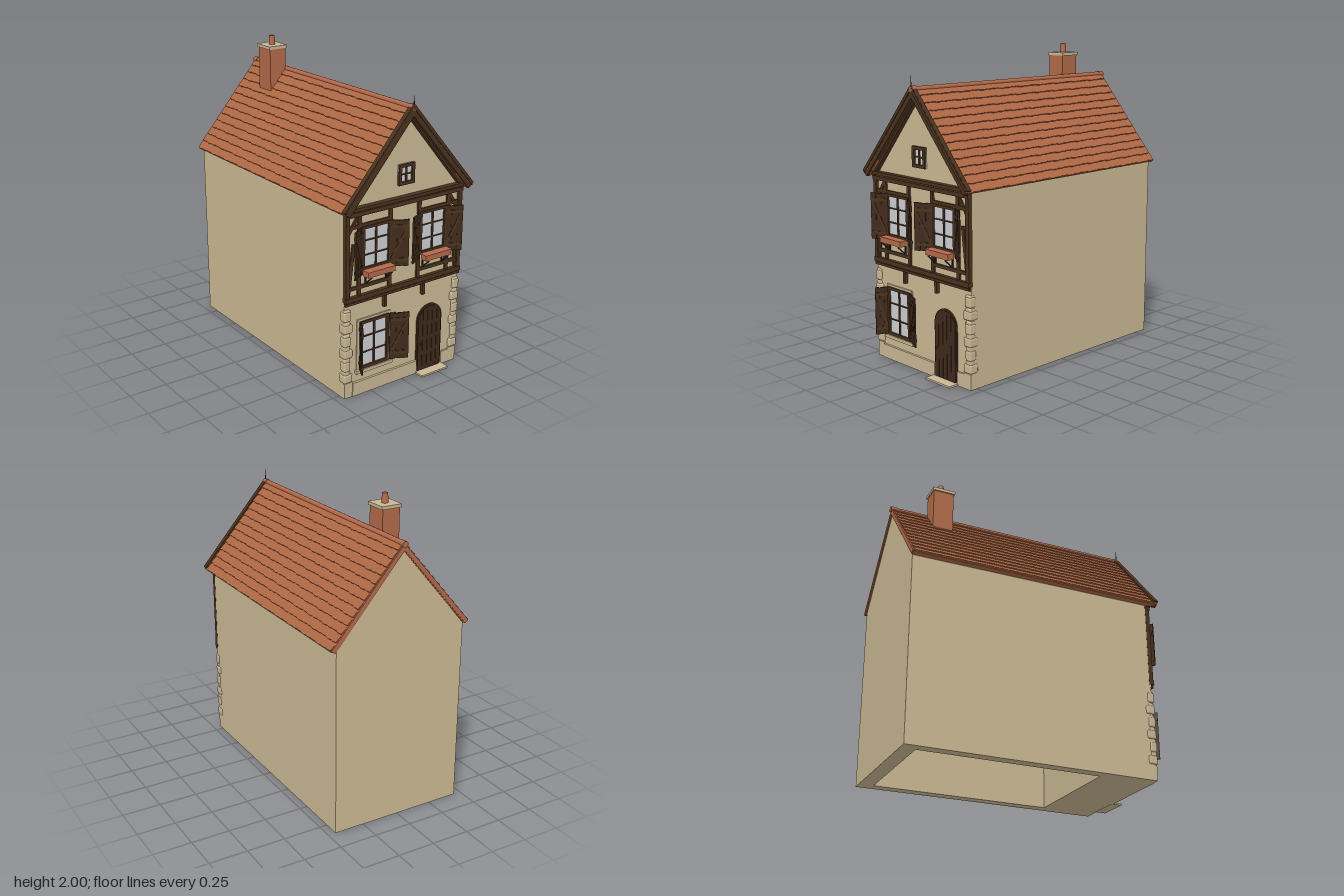
import * as THREE from 'three';
import { RoundedBoxGeometry } from 'three/addons/geometries/RoundedBoxGeometry.js';

const mat = (name, color) => Object.assign(new THREE.MeshStandardMaterial({ color }), { name });

export function createModel() {
  const house = new THREE.Group();
  house.name = 'house';
  const plaster = mat('plaster', 0xcbb994);
  const stone = mat('stone', 0xc9b794);
  const timber = mat('dark timber', 0x4a321e);
  const plank = mat('shutter wood', 0x3f2a1b);
  const tile = mat('roof tile', 0xae6844);
  const brick = mat('chimney brick', 0xb26a48);
  const clay = mat('terracotta', 0xb4694a);
  const glass = mat('window glass', 0xcdd0d4);
  const iron = mat('iron', 0x2b2724);

  const add = (name, geo, material, x = 0, y = 0, z = 0, parent = house) => {
    const m = new THREE.Mesh(geo, material);
    m.name = name;
    m.position.set(x, y, z);
    parent.add(m);
    return m;
  };
  const box = (name, material, w, h, d, x, y, z, parent) =>
    add(name, new THREE.BoxGeometry(w, h, d), material, x, y, z, parent);
  const poly = (pts) => new THREE.Shape(pts.map(([x, y]) => new THREE.Vector2(x, y)));
  const extrude = (shape, depth) => new THREE.ExtrudeGeometry(shape, { depth, bevelEnabled: false, curveSegments: 16 });
  // straight bar in the front plane from a to b
  const bar = (name, material, a, b, w, d, z, parent) => {
    const dx = b[0] - a[0], dy = b[1] - a[1];
    const m = box(name, material, w, Math.hypot(dx, dy), d, (a[0] + b[0]) / 2, (a[1] + b[1]) / 2, z, parent);
    m.rotation.z = Math.atan2(-dx, dy);
    return m;
  };

  // hollow walls, open underneath
  const plan = poly([[-0.45, -0.79], [0.45, -0.79], [0.45, 0.855], [-0.45, 0.855]]);
  plan.holes.push(new THREE.Path([[-0.38, -0.43], [-0.38, 0.76], [0.38, 0.76], [0.38, -0.43]]
    .map(([x, y]) => new THREE.Vector2(x, y))));
  add('walls', extrude(plan, 1.205).rotateX(-Math.PI / 2), plaster);
  add('gables', extrude(poly([[-0.45, 1.205], [0.45, 1.205], [0, 1.74]]), 1.645), plaster, 0, 0, -0.855);

  // roof deck
  const deck = poly([[0.485, 1.21], [0, 1.775], [-0.485, 1.21], [-0.452, 1.205], [0, 1.735], [0.452, 1.205]]);
  add('roofDeck', extrude(deck, 1.7), tile, 0, 0, -0.86);

  // overlapping tile courses on both slopes
  const run = Math.hypot(0.485, 0.57), courses = 13, tiles = 30, step = run / courses;
  const u = new THREE.Vector3(-0.485, 0.57, 0).normalize();
  const n = new THREE.Vector3(u.y, -u.x, 0);
  const slopeBasis = new THREE.Matrix4().makeBasis(new THREE.Vector3(0, 0, -1), u, n);
  for (const side of [0, 1]) {
    const slope = new THREE.Group();
    slope.name = side ? 'rightRoofSlope' : 'leftRoofSlope';
    slope.rotation.y = side * Math.PI;
    house.add(slope);
    for (let i = 0; i < courses; i++) {
      const pts = [];
      const w = 1.71 / tiles;
      for (let k = 0; k < tiles; k++) {
        const x0 = -0.855 + k * w;
        const drop = ((k * 7 + i * 5) % 3) * 0.002;
        pts.push([x0, drop + 0.003], [x0 + w * 0.25, drop], [x0 + w * 0.75, drop], [x0 + w, drop + 0.003]);
      }
      pts.push([0.855, step * 1.1], [-0.855, step * 1.1]);
      const g = extrude(poly(pts), 0.01).rotateX(-0.13).translate(0, 0, 0.003).applyMatrix4(slopeBasis);
      add('tileCourse', g, tile, 0.485 + u.x * i * step, 1.21 + u.y * i * step, 0, slope);
    }
  }

  // ridge tiles
  add('ridge', new THREE.CylinderGeometry(0.017, 0.017, 1.72, 12).rotateX(Math.PI / 2), clay, 0, 1.778, 0);
  for (let i = 0; i < 2; i++)
    add('ridgeEnd', new THREE.CylinderGeometry(0.02, 0.02, 0.04, 12).rotateX(Math.PI / 2), clay, 0, 1.778, i ? 0.835 : -0.85);

  // bargeboards in front, tile verges behind, and finial
  for (const s of [-1, 1]) {
    bar('bargeboard', timber, [s * 0.478, 1.215], [s * -0.008, 1.775], 0.05, 0.03, 0.84);
    bar('bargeMoulding', timber, [s * 0.485, 1.228], [s * -0.004, 1.792], 0.02, 0.036, 0.842);
    bar('bargeBatten', timber, [s * 0.45, 1.2], [0, 1.735], 0.022, 0.03, 0.805);
    bar('rearVerge', clay, [s * 0.475, 1.21], [0, 1.762], 0.028, 0.014, -0.857);
  }
  add('finial', new THREE.ConeGeometry(0.006, 0.1, 8), iron, 0, 1.815, 0.852);

  // chimney
  box('chimneyStack', brick, 0.12, 0.45, 0.14, -0.07, 1.7, -0.545);
  box('chimneyCap', stone, 0.14, 0.02, 0.155, -0.07, 1.93, -0.545);
  add('chimneyPot', new THREE.CylinderGeometry(0.018, 0.022, 0.062, 16), clay, -0.07, 1.969, -0.545);

  // ground floor masonry
  box('plinth', stone, 0.51, 0.09, 0.03, -0.135, 0.045, 0.79);
  box('rightPlinth', stone, 0.06, 0.09, 0.03, 0.36, 0.045, 0.785);
  for (const s of [-1, 1]) {
    box('cornerFoot', stone, 0.06, 0.1, 0.03, s * 0.42, 0.05, 0.785);
    for (let i = 0; i < 6; i++) {
      const w = i % 2 ? 0.05 : 0.065;
      add('quoin', new RoundedBoxGeometry(w, 0.058 + (i % 2) * 0.008, w, 2, 0.012), stone,
        s * (0.457 - w / 2), 0.132 + i * 0.083, 0.808 - w / 2);
      add('quoinFill', new RoundedBoxGeometry(0.045, 0.035, 0.04, 2, 0.008), stone, s * 0.43, 0.172 + i * 0.08, 0.783);
    }
  }
  box('doorstep', stone, 0.22, 0.012, 0.1, 0.222, 0.006, 0.82);

  // arched door made of planks
  const arch = (x, r, spring) => spring + Math.sqrt(Math.max(0, r * r - x * x));
  const archShape = (r, spring) => {
    const s = poly([[-r, 0], [r, 0], [r, spring]]);
    s.absarc(0, spring, r, 0, Math.PI, false);
    s.lineTo(-r, 0);
    return s;
  };
  add('doorBack', extrude(archShape(0.103, 0.357), 0.012), timber, 0.222, 0, 0.785);
  for (let i = 0; i < 5; i++) {
    const a = -0.094 + i * 0.038, b = a + 0.035, pts = [[a, 0.008], [b, 0.008]];
    for (let k = 0; k <= 5; k++) {
      const x = b + (a - b) * k / 5;
      pts.push([x, arch(x, 0.095, 0.355)]);
    }
    add('doorPlank', extrude(poly(pts), 0.008), plank, 0.222, 0, 0.796);
  }
  add('doorKnob', new THREE.SphereGeometry(0.007, 10, 8), iron, 0.145, 0.2, 0.808);

  // glazed window with frame and bars
  const makeWindow = (name, x0, x1, y0, y1, cols, rows, f) => {
    const g = new THREE.Group();
    g.name = name;
    house.add(g);
    const w = x1 - x0, h = y1 - y0, cx = (x0 + x1) / 2, cy = (y0 + y1) / 2;
    box('pane', glass, w, h, 0.006, cx, cy, 0.792, g);
    for (const s of [-1, 1]) {
      box('jamb', timber, f, h, 0.022, cx + s * (w - f) / 2, cy, 0.797, g);
      box('rail', timber, w, f, 0.022, cx, cy + s * (h - f) / 2, 0.797, g);
    }
    for (let i = 1; i < cols; i++) box('mullion', timber, 0.012, h, 0.014, x0 + w * i / cols, cy, 0.795, g);
    for (let i = 1; i < rows; i++) box('glazingBar', timber, w, 0.008, 0.012, cx, y0 + h * i / rows, 0.795, g);
  };
  makeWindow('groundWindow', -0.335, -0.115, 0.17, 0.49, 2, 3, 0.018);
  makeWindow('gableWindow', -0.06, 0.06, 1.3, 1.43, 2, 2, 0.02);
  for (const s of [-1, 1]) makeWindow('upperWindow', s * 0.22 - 0.105, s * 0.22 + 0.105, 0.825, 1.1, 2, 3, 0.016);
  // stone surround
  box('windowSill', stone, 0.28, 0.022, 0.03, -0.225, 0.157, 0.797);
  box('windowHead', stone, 0.25, 0.014, 0.012, -0.225, 0.498, 0.793);
  for (const x of [-0.345, -0.104]) box('windowSide', stone, 0.02, 0.33, 0.008, x, 0.33, 0.792);

  // ledged shutters swung open from a hinge
  const shutter = (x, y, w, h, dir, angle) => {
    const g = new THREE.Group();
    g.name = 'shutter';
    g.position.set(x, y, 0.802);
    g.rotation.y = -dir * angle;
    house.add(g);
    for (let i = 0; i < 3; i++)
      box('shutterPlank', plank, w / 3 - 0.003, h - (i % 2) * 0.004, 0.009, dir * w * (i + 0.5) / 3, 0, 0, g);
    box('shutterBack', plank, w - 0.006, h - 0.012, 0.004, dir * w / 2, 0, 0, g);
    for (const s of [-1, 1]) box('ledge', timber, w * 0.96, 0.02, 0.016, dir * w / 2, s * h * 0.36, 0, g);
    bar('shutterBrace', timber, [dir * 0.01, -h * 0.33], [dir * (w - 0.012), h * 0.33], 0.014, 0.014, 0, g);
  };
  shutter(-0.335, 0.33, 0.085, 0.315, -1, 1.08);
  shutter(-0.108, 0.33, 0.125, 0.315, 1, 0.45);
  for (const s of [-1, 1]) {
    shutter(s * 0.118, 0.95, 0.118, 0.3, -s, 0.5);
    shutter(s * 0.322, 0.95, 0.112, 0.3, s, 0.5);
  }

  // timber frame of the upper floor
  box('bressummer', timber, 0.905, 0.03, 0.035, 0, 0.655, 0.797);
  box('lowerBeam', timber, 0.9, 0.016, 0.028, 0, 0.627, 0.795);
  box('topPlate', timber, 0.905, 0.026, 0.035, 0, 1.188, 0.797);
  box('gableTie', timber, 0.93, 0.02, 0.05, 0, 1.222, 0.803);
  for (const s of [-1, 1]) {
    box('cornerPost', timber, 0.028, 0.55, 0.03, s * 0.437, 0.925, 0.795);
    for (const x of [0.112, 0.345]) box('stud', timber, 0.026, 0.52, 0.022, s * x, 0.925, 0.791);
    box('sillRail', timber, 0.34, 0.022, 0.022, s * 0.27, 0.72, 0.791);
    box('lintel', timber, 0.34, 0.022, 0.022, s * 0.27, 1.108, 0.791);
    bar('cornerBrace', timber, [s * 0.425, 0.67], [s * 0.385, 1.0], 0.024, 0.018, 0.79);
    bar('topBrace', timber, [s * 0.43, 1.06], [s * 0.355, 1.17], 0.02, 0.018, 0.79);
    box('corbel', timber, 0.02, 0.075, 0.03, s * 0.152, 0.585, 0.8);

    // flower box on iron brackets
    box('flowerBox', clay, 0.205, 0.034, 0.05, s * 0.224, 0.81, 0.838);
    box('flowerBoxRim', clay, 0.211, 0.008, 0.056, s * 0.224, 0.826, 0.838);
    for (const x of [0.145, 0.3]) {
      const strut = box('boxBracket', iron, 0.007, 0.08, 0.007, s * x, 0.762, 0.832);
      strut.rotation.x = 0.85;
      box('bracketLeg', iron, 0.008, 0.06, 0.008, s * x, 0.765, 0.804);
      box('bracketArm', iron, 0.008, 0.006, 0.06, s * x, 0.791, 0.832);
    }
  }
  return house;
}
